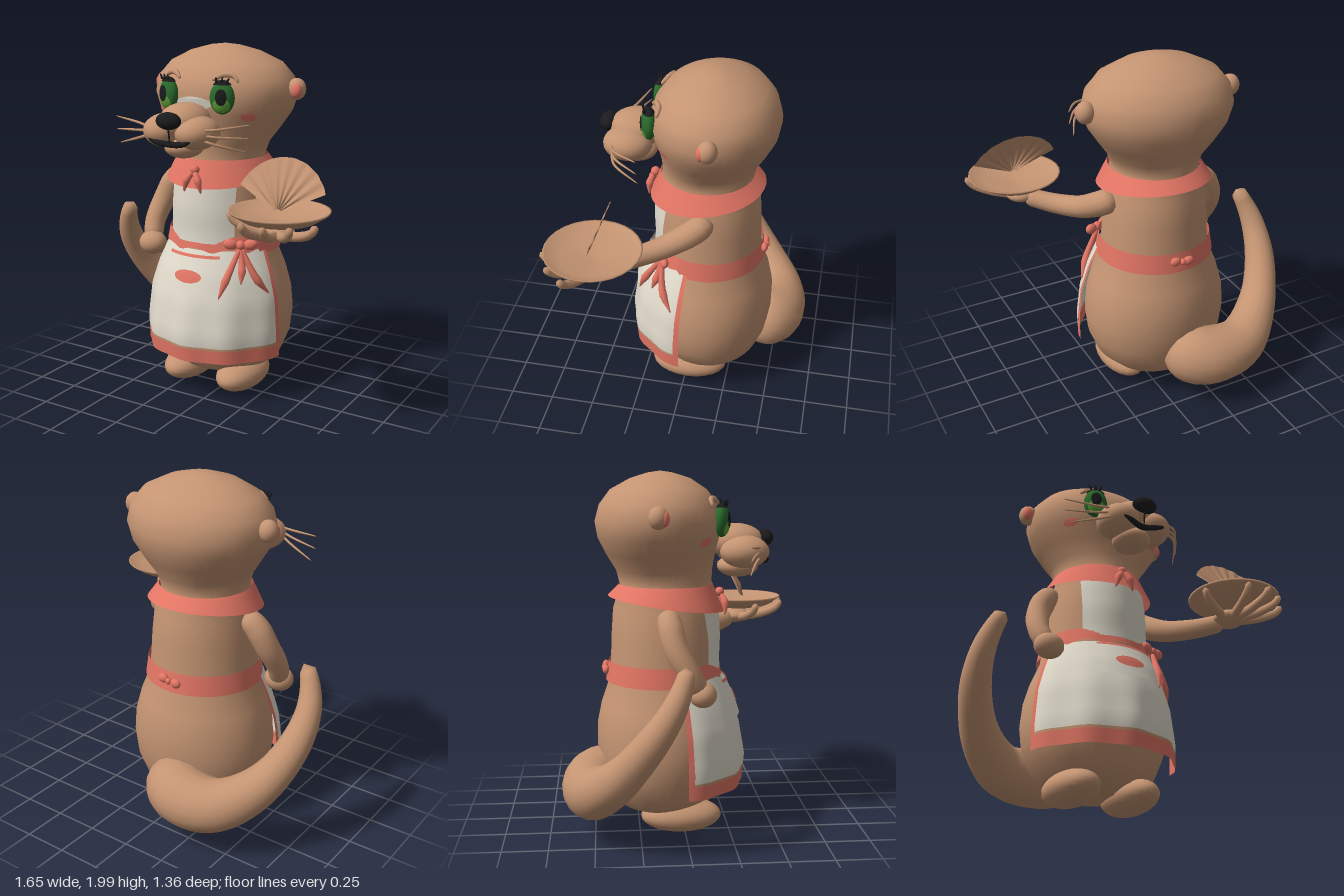
import * as THREE from 'three';
import { mergeVertices } from 'three/addons/utils/BufferGeometryUtils.js';

const C = -0.075; // x of the body's middle plane
const paint = (name, color, side = THREE.FrontSide) => {
  const m = new THREE.MeshStandardMaterial({ color, side });
  m.name = name;
  return m;
};
const V = (p) => new THREE.Vector3(...p);

// cross-sections: [y, rx, rz, cz]
const BODY = [
  [0.08, 0, 0, -0.11], [0.09, 0.15, 0.14, -0.11], [0.14, 0.27, 0.25, -0.11], [0.22, 0.35, 0.31, -0.11],
  [0.34, 0.4, 0.355, -0.11], [0.47, 0.415, 0.37, -0.11], [0.6, 0.4, 0.37, -0.11], [0.72, 0.365, 0.345, -0.11],
  [0.85, 0.312, 0.305, -0.105], [0.96, 0.3, 0.295, -0.105], [1.1, 0.29, 0.295, -0.1], [1.25, 0.27, 0.285, -0.1],
  [1.38, 0.235, 0.255, -0.09], [1.46, 0.265, 0.265, -0.1], [1.55, 0.33, 0.3, -0.12], [1.64, 0.39, 0.335, -0.13],
  [1.73, 0.42, 0.35, -0.13], [1.82, 0.4, 0.325, -0.13], [1.9, 0.33, 0.265, -0.13], [1.96, 0.205, 0.165, -0.12],
  [1.99, 0.09, 0.07, -0.12], [2, 0, 0, -0.12],
];
const SKIRT = [
  [0.26, 0.445, 0.45, -0.11], [0.4, 0.447, 0.462, -0.11], [0.6, 0.428, 0.43, -0.11],
  [0.75, 0.382, 0.38, -0.11], [0.88, 0.325, 0.32, -0.11],
];
function section(sec, y) {
  let i = 0;
  while (i < sec.length - 2 && y > sec[i + 1][0]) i++;
  const t = THREE.MathUtils.clamp((y - sec[i][0]) / (sec[i + 1][0] - sec[i][0]), 0, 1);
  return sec[i].map((a, k) => THREE.MathUtils.lerp(a, sec[i + 1][k], t));
}
function frontZ(sec, x, y) {
  const [, rx, rz, cz] = section(sec, y);
  return cz + rz * Math.sqrt(Math.max(0, 1 - ((x - C) / rx) ** 2));
}

// smooth surface from a rule f(u, v) -> [x, y, z]
function weld(g) {
  g.deleteAttribute('uv');
  g.deleteAttribute('normal');
  const m = mergeVertices(g, 1e-5);
  m.computeVertexNormals();
  return m;
}
function surface(f, nu, nv) {
  const g = new THREE.PlaneGeometry(1, 1, nu, nv), p = g.attributes.position;
  for (let i = 0; i < p.count; i++) p.setXYZ(i, ...f(p.getX(i) + 0.5, p.getY(i) + 0.5));
  return weld(g);
}
// lay a flat x-y geometry over the front of a lofted form
function drape(g, sec, off) {
  const p = g.attributes.position;
  for (let i = 0; i < p.count; i++) p.setZ(i, frontZ(sec, p.getX(i), p.getY(i)) + off);
  return weld(g);
}
const disc = (x, y, rx, ry) => new THREE.RingGeometry(0, 1, 24, 4).scale(rx, ry, 1).translate(x, y, 0);
const plate = (x0, x1, y0, y1) =>
  new THREE.PlaneGeometry(x1 - x0, y1 - y0, 14, 8).translate((x0 + x1) / 2, (y0 + y1) / 2, 0);

// round-ended tube whose radius follows a list
function limb(points, radii, seg = 28, sides = 14) {
  const curve = new THREE.CatmullRomCurve3(points.map(V)), len = curve.getLength();
  const g = new THREE.TubeGeometry(curve, seg, 1, sides), p = g.attributes.position, v = new THREE.Vector3();
  for (let i = 0; i <= seg; i++) {
    const u = i / seg, c = curve.getPointAt(u), t = u * (radii.length - 1);
    const k = Math.min(Math.floor(t), radii.length - 2);
    let r = THREE.MathUtils.lerp(radii[k], radii[k + 1], t - k);
    const d = Math.min(1, (Math.min(u, 1 - u) * len) / Math.max(r, 1e-4));
    r *= Math.sqrt(1 - (1 - d) ** 2);
    for (let j = 0; j <= sides; j++) {
      const n = i * (sides + 1) + j;
      v.fromBufferAttribute(p, n).sub(c).multiplyScalar(r).add(c);
      p.setXYZ(n, v.x, v.y, v.z);
    }
  }
  return weld(g);
}

export function createModel() {
  const root = new THREE.Group();
  const fur = paint('brown fur', 0xc49472), furThin = paint('brown thin sheet', 0xc49472, THREE.DoubleSide);
  const coral = paint('coral cloth', 0xe27564, THREE.DoubleSide);
  const cream = paint('cream cloth', 0xe0dacb, THREE.DoubleSide);
  const black = paint('black', 0x1b1b1d, THREE.DoubleSide);
  const darkGreen = paint('dark green', 0x2b6a2c), lime = paint('light green', 0x5fa236, THREE.DoubleSide);
  const add = (name, g, m, parent = root) => {
    const mesh = new THREE.Mesh(g, m);
    mesh.name = name;
    parent.add(mesh);
    return mesh;
  };
  const ball = (name, pos, r, m, parent = root) => {
    const b = add(name, new THREE.SphereGeometry(1, 22, 16).scale(...r), m, parent);
    b.position.set(...pos);
    return b;
  };

  // body and head in one loft
  add('body', surface((u, v) => {
    const [y, rx, rz, cz] = BODY[Math.round(v * (BODY.length - 1))], a = u * Math.PI * 2;
    return [C + rx * Math.sin(a), y, cz + rz * Math.cos(a)];
  }, 40, BODY.length - 1), fur);

  // tail, arms
  add('tail', limb([[-0.03, 0.33, -0.34], [-0.2, 0.29, -0.5], [-0.43, 0.3, -0.5], [-0.62, 0.42, -0.38],
    [-0.735, 0.62, -0.23], [-0.755, 0.82, -0.1], [-0.7, 0.99, -0.03], [-0.67, 1.03, -0.03]],
  [0.17, 0.175, 0.155, 0.125, 0.1, 0.085, 0.065, 0.04], 36, 18), fur);
  add('rightArm', limb([[-0.33, 1.25, -0.1], [-0.4, 1.2, -0.09], [-0.46, 1.08, -0.06], [-0.485, 0.95, 0.01],
    [-0.46, 0.84, 0.07]], [0.06, 0.07, 0.066, 0.06, 0.055]), fur);
  ball('rightHand', [-0.455, 0.835, 0.08], [0.085, 0.07, 0.075], fur);
  add('leftArm', limb([[0.17, 1.23, -0.13], [0.22, 1.2, -0.1], [0.29, 1.11, 0.06], [0.39, 1.08, 0.22],
    [0.52, 1.1, 0.35]], [0.07, 0.07, 0.062, 0.056, 0.05]), fur);
  ball('leftHand', [0.53, 1.11, 0.38], [0.09, 0.045, 0.09], fur);
  for (const [x, z] of [[0.3, 0.48], [0.47, 0.66], [0.6, 0.675], [0.72, 0.615], [0.81, 0.515]]) {
    const at = (t, y) => [0.53 + (x - 0.53) * t, y, 0.38 + (z - 0.38) * t];
    add('finger', limb([at(0.15, 1.1), at(0.6, 1.125), at(0.9, 1.165), at(1, 1.21)],
      [0.028, 0.026, 0.024, 0.018], 16, 8), fur);
  }

  // tray and fan
  const dish = [[0, 1.155], [0.1, 1.158], [0.19, 1.18], [0.255, 1.222], [0.26, 1.232], [0.25, 1.23],
    [0.18, 1.195], [0, 1.18]].map((p) => new THREE.Vector2(...p));
  add('tray', new THREE.LatheGeometry(dish, 28), furThin).position.set(0.555, 0, 0.405);
  add('fan', surface((u, v) => {
    const a = Math.PI * (0.86 - 0.72 * u), r = 0.02 + 0.245 * v;
    const fold = 0.007 * Math.cos(u * Math.PI * 16) * (1 - 0.6 * v);
    const y = r * Math.sin(a);
    return [0.555 + r * Math.cos(a), 1.22 + y, 0.43 - 0.42 * y + fold];
  }, 48, 6), furThin);

  // feet, ears, eyes, cheeks, mirrored about the middle plane
  for (const s of [-1, 1]) {
    const side = s > 0 ? 'left' : 'right';
    ball(side + 'Foot', [C + s * 0.18, 0.1, -0.02], [0.13, 0.093, 0.225], fur);
    ball(side + 'Ear', [C + s * 0.43, 1.765, -0.155], [0.053, 0.06, 0.052], fur);
    ball(side + 'InnerEar', [C + s * 0.443, 1.76, -0.125], [0.033, 0.042, 0.027], coral);
    add(side + 'Blush', drape(disc(C + s * 0.275, 1.63, 0.032, 0.024), BODY, 0.007), coral);

    const eye = new THREE.Group(), ex = C + s * 0.17, R = [0.068, 0.088, 0.042];
    eye.name = side + 'Eye';
    eye.position.set(ex, 1.738, frontZ(BODY, ex, 1.738) + 0.012);
    eye.rotation.y = s * 0.35;
    root.add(eye);
    ball('eyeball', [0, 0, 0], R, darkGreen, eye);
    const onEye = (g, off) => {
      const p = g.attributes.position;
      for (let i = 0; i < p.count; i++) {
        const q = 1 - (p.getX(i) / R[0]) ** 2 - (p.getY(i) / R[1]) ** 2;
        p.setZ(i, R[2] * Math.sqrt(Math.max(0, q)) + off);
      }
      return weld(g);
    };
    add('iris', onEye(disc(0, -0.038, 0.048, 0.04), 0.002), lime, eye);
    add('pupil', onEye(disc(0, 0.006, 0.031, 0.044), 0.004), black, eye);
    add('upperLid', new THREE.SphereGeometry(1, 20, 6, 0, Math.PI * 2, 0, 0.75)
      .scale(R[0] * 1.1, R[1] * 1.08, R[2] * 1.1), black, eye);
    for (const k of [-1, 0, 1]) {
      add('eyelash', limb([[k * 0.025, 0.078, 0.022], [k * 0.037 + s * 0.008, 0.112, 0.026]],
        [0.009, 0.003], 6, 6), black, eye);
    }
    const brow = [[0.1, 1.825], [0.15, 1.853], [0.2, 1.85], [0.24, 1.815]]
      .map(([dx, y]) => [C + s * dx, y, frontZ(BODY, C + s * dx, y) + 0.012]);
    add(side + 'Brow', limb(brow, [0.008, 0.015, 0.015, 0.007], 16, 8), fur);

    // muzzle lobe and whiskers
    ball(side + 'Cheek', [C + s * 0.1, 1.565, 0.335], [0.117, 0.09, 0.135], fur);
    const tip = s < 0 ? [-0.52, 0.32] : [0.285, 0.225];
    [[1.59, 1.612], [1.565, 1.54], [1.54, 1.465]].forEach(([y0, y1], i) => {
      add(side + 'Whisker', limb([[C + s * 0.17, y0, 0.41], [C + s * 0.25, (y0 * 2 + y1) / 3, 0.375],
        [tip[0] + (i === 2 ? -s * 0.025 : 0), y1, tip[1]]], [0.008, 0.007, 0.003], 12, 6), fur);
    });
  }

  // face
  add('facePatch', drape(disc(C, 1.7, 0.11, 0.036), BODY, 0.008), cream);
  ball('bridge', [C, 1.615, 0.3], [0.135, 0.1, 0.155], fur);
  ball('chin', [C, 1.48, 0.31], [0.105, 0.062, 0.115], fur);
  ball('nose', [C, 1.635, 0.458], [0.073, 0.046, 0.05], black);
  add('noseLine', limb([[C, 1.6, 0.462], [C, 1.56, 0.455], [C, 1.515, 0.45]], [0.005, 0.005], 8, 6), black);
  add('mouth', limb([[-0.225, 1.553, 0.438], [-0.175, 1.523, 0.457], [C, 1.508, 0.435], [0.025, 1.523, 0.457],
    [0.075, 1.553, 0.438]], [0.004, 0.015, 0.018, 0.015, 0.004], 24, 8), black);

  // collar with a knot and two tails
  add('collar', surface((u, v) => {
    const a = u * Math.PI * 2, f = Math.cos(a), r = THREE.MathUtils.lerp(0.318, 0.255, v);
    return [C + r * Math.sin(a), THREE.MathUtils.lerp(1.278 - 0.045 * f, 1.385, v),
      -0.09 + (r + 0.005) * f];
  }, 40, 3), coral);
  ball('collarKnot', [C, 1.335, 0.21], [0.027, 0.026, 0.026], coral);
  for (const s of [-1, 1]) {
    add('collarTail', limb([[C, 1.33, 0.215], [C + s * 0.035, 1.28, 0.236], [C + s * 0.055, 1.21, 0.235]],
      [0.012, 0.022, 0.004], 14, 8), coral);
  }

  // apron: bib, pleated skirt with borders, waistband
  add('bib', drape(plate(-0.28, 0.13, 0.92, 1.27), BODY, 0.018), cream);
  const EDGE = 1.32;
  const skirt = (name, a0, a1, y0, y1, m, nu, off = 0) => add(name, surface((u, v) => {
    const a = a0 + (a1 - a0) * u, y = y0 + (y1 - y0) * v, [, rx, rz, cz] = section(SKIRT, y);
    const k = 1 + off + 0.014 * Math.cos(a * 11) * THREE.MathUtils.clamp((0.85 - y) / 0.4, 0, 1);
    return [C + rx * k * Math.sin(a), y, cz + rz * k * Math.cos(a)];
  }, nu, Math.max(1, Math.round((y1 - y0) * 20))), m);
  skirt('skirt', -EDGE + 0.07, EDGE - 0.07, 0.352, 0.88, cream, 60);
  skirt('hemTrim', -EDGE + 0.07, EDGE - 0.07, 0.338, 0.352, furThin, 60);
  skirt('hem', -EDGE + 0.07, EDGE - 0.07, 0.26, 0.338, coral, 60);
  skirt('rightBorder', -EDGE, -EDGE + 0.07, 0.26, 0.88, coral, 3);
  skirt('leftBorder', EDGE - 0.07, EDGE, 0.26, 0.88, coral, 3);
  add('waistband', surface((u, v) => {
    const a = (u - 0.5) * Math.PI * 2, front = Math.abs(a) < 1.2;
    const low = front ? 0.865 + 0.025 * Math.abs(Math.cos(a * 5)) : 0.85;
    const r = THREE.MathUtils.lerp(0.332, 0.315, v);
    return [C + r * Math.sin(a), THREE.MathUtils.lerp(low, 0.962, v), -0.105 + (r - 0.008) * Math.cos(a)];
  }, 72, 2), coral);

  // pocket
  add('pocket', drape(plate(-0.265, 0.115, 0.655, 0.85), SKIRT, 0.022), cream);
  add('pocketTrim', drape(plate(-0.235, 0.085, 0.846, 0.862), SKIRT, 0.028), coral);
  add('pocketPatch', drape(disc(C, 0.745, 0.087, 0.034), SKIRT, 0.028), coral);

  // front bow with hanging ribbons, and the small back bow
  const onSkirt = (x, y, off) => [x, y, frontZ(SKIRT, x, y) + off];
  const knot = onSkirt(0.17, 0.92, 0.03);
  ball('bowKnot', knot, [0.027, 0.027, 0.025], coral);
  for (const s of [-1, 1]) {
    const loop = ball('bowLoop', [knot[0] + s * 0.05, 0.925, knot[2] - s * 0.025], [0.04, 0.03, 0.024], coral);
    loop.rotation.set(0, 0.45, s * 0.2);
    ball('backBowLoop', [C + s * 0.04, 0.915 + s * 0.006, -0.428], [0.032, 0.026, 0.02], coral);
  }
  ball('backBowKnot', [C, 0.915, -0.435], [0.017, 0.018, 0.018], coral);
  for (const [x, y] of [[0.115, 0.635], [0.205, 0.71], [0.315, 0.64]]) {
    const xm = 0.17 + (x - 0.17) * 0.6;
    add('ribbon', limb([onSkirt(0.17, 0.91, 0.028), onSkirt(xm, y + 0.1, 0.024), onSkirt(x, y, 0.018)],
      [0.012, 0.017, 0.023, 0.003], 18, 8), coral);
  }
  return root;
}
